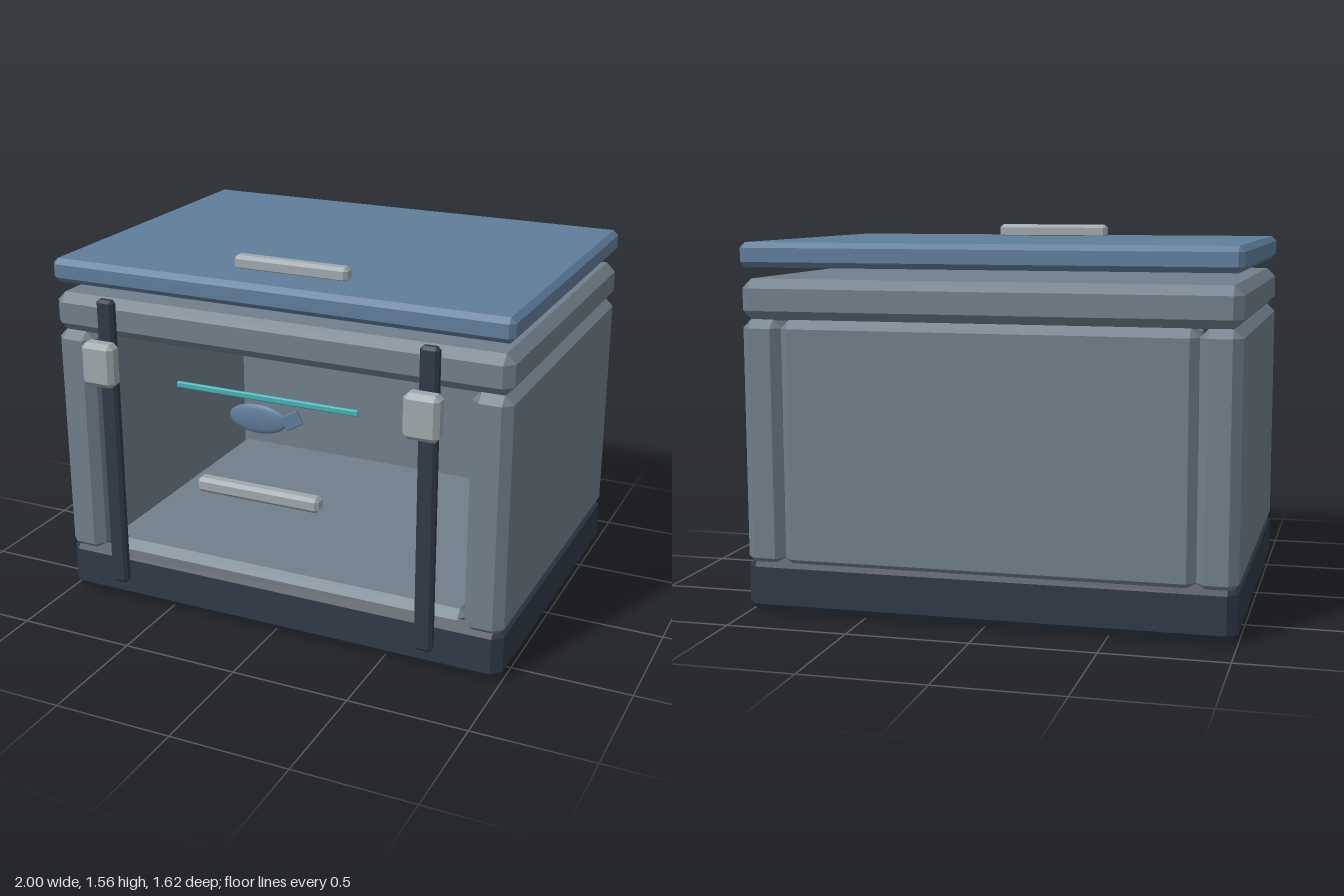
import * as THREE from 'three';
import { ConvexGeometry } from 'three/addons/geometries/ConvexGeometry.js';

const material = (color) => new THREE.MeshStandardMaterial({ color, flatShading: true });

// Box given by its extents, with every edge cut by a flat chamfer c
function chamferBox(name, mat, [x0, x1], [y0, y1], [z0, z1], c) {
  const h = [(x1 - x0) / 2, (y1 - y0) / 2, (z1 - z0) / 2];
  const points = [];
  for (const sx of [-1, 1]) for (const sy of [-1, 1]) for (const sz of [-1, 1]) {
    for (let full = 0; full < 3; full++) {
      const p = [sx, sy, sz].map((s, i) => s * (h[i] - (i === full ? 0 : c)));
      points.push(new THREE.Vector3(...p));
    }
  }
  const mesh = new THREE.Mesh(new ConvexGeometry(points), mat);
  mesh.name = name;
  mesh.position.set((x0 + x1) / 2, (y0 + y1) / 2, (z0 + z1) / 2);
  return mesh;
}

export function createModel() {
  const group = new THREE.Group();
  group.name = 'coolerChest';
  const shell = material(0x6f7f8b);
  const dark = material(0x2f3947);
  const blue = material(0x5f7d9a);
  const metal = material(0x9ea8ad);
  const teal = material(0x43b3b5);
  const depth = [-0.81, 0.65];
  const add = (...args) => group.add(chamferBox(...args));

  // Body: base, open-fronted shell, rim
  add('base', dark, [-1, 1], [0, 0.235], depth, 0.04);
  add('floor', shell, [-0.84, 0.84], [0.1, 0.265], [-0.78, 0.62], 0.035);
  add('backWall', shell, [-0.84, 0.84], [0.195, 1.205], [-0.81, -0.65], 0.037);
  add('rim', shell, [-1, 1], [1.2, 1.365], depth, 0.038);

  // Lid floating above the rim, with its grip
  add('lid', blue, [-1, 1], [1.41, 1.51], depth, 0.022);
  add('lidHandle', metal, [-0.25, 0.25], [1.5, 1.562], [0.4, 0.46], 0.014);

  // Side walls, straps and latches, mirrored
  for (const s of [-1, 1]) {
    const side = s < 0 ? 'right' : 'left';
    const span = (a, b) => (s < 0 ? [-b, -a] : [a, b]);
    add(side + 'Wall', shell, span(0.835, 1), [0.195, 1.205], depth, 0.037);
    add(side + 'Strap', dark, span(0.663, 0.74), [0.12, 1.388], [0.686, 0.73], 0.013);
    add(side + 'Latch', metal, span(0.628, 0.775), [1.04, 1.225], [0.73, 0.808], 0.02);
  }

  // Front details
  add('frontHandle', metal, [-0.27, 0.27], [0.65, 0.712], [0.715, 0.775], 0.014);
  add('waterLine', teal, [-0.4, 0.4], [1.05, 1.075], [0.67, 0.686], 0.004);

  // Fish ornament: flattened ellipsoid and a tilted tail block
  const fish = new THREE.Group();
  fish.name = 'fish';
  fish.position.set(0, 1, 0.742);
  const fishBody = new THREE.Mesh(new THREE.SphereGeometry(1, 24, 16), blue.clone());
  fishBody.material.flatShading = false;
  fishBody.name = 'fishBody';
  fishBody.scale.set(0.125, 0.06, 0.017);
  const tail = chamferBox('fishTail', blue, [0.108, 0.188], [-0.015, 0.045], [-0.007, 0.007], 0.003);
  tail.rotation.z = Math.PI / 6;
  fish.add(fishBody, tail);
  group.add(fish);

  return group;
}
